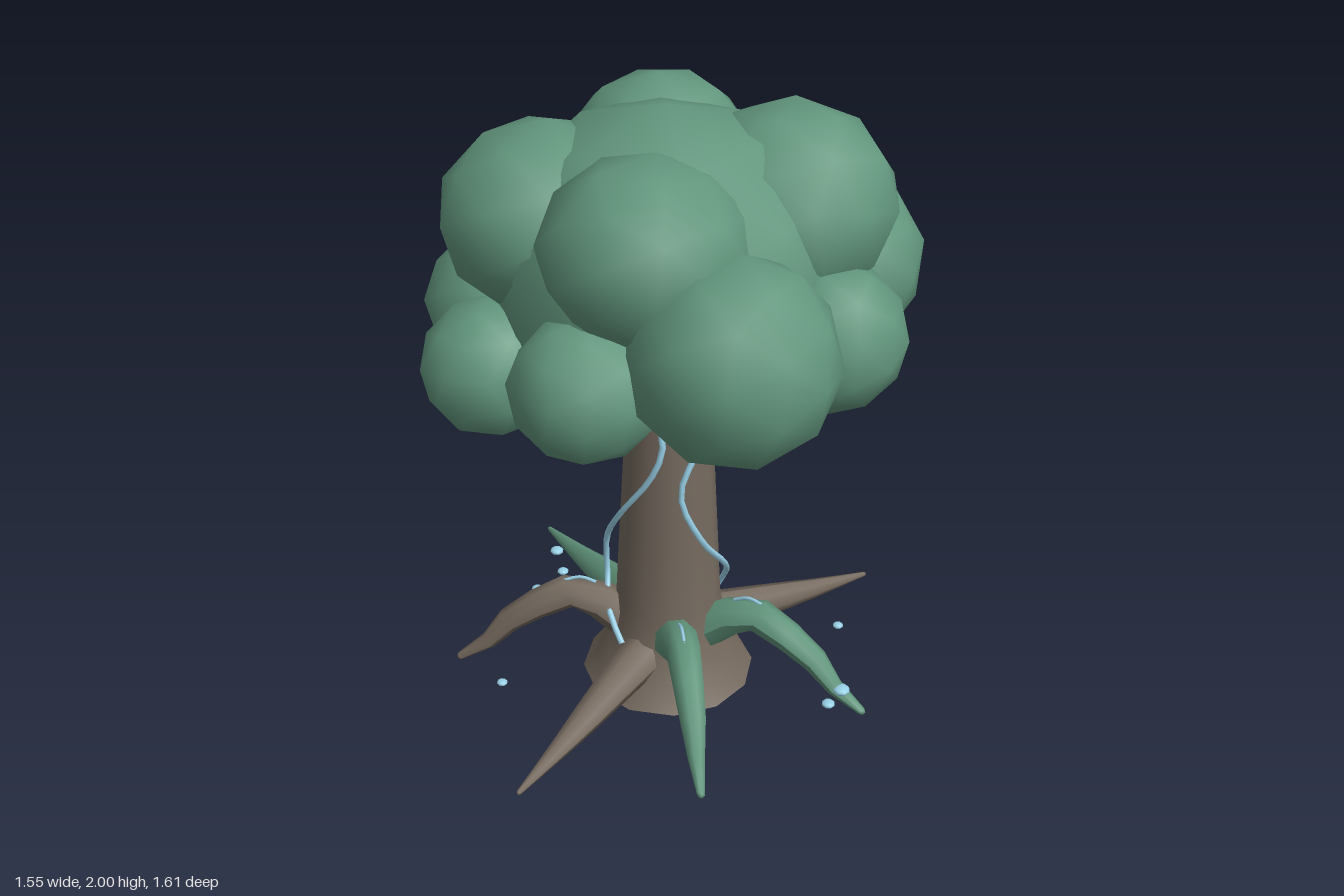
import * as THREE from 'three';

const mat = (name, color) => Object.assign(new THREE.MeshStandardMaterial({ color }), { name });
const V = (x, y, z) => new THREE.Vector3(x, y, z);

// Tube whose radius follows a list of evenly spaced radii
function taperedTube(points, radii, steps, sides) {
  const curve = new THREE.CatmullRomCurve3(points);
  const geo = new THREE.TubeGeometry(curve, steps, 1, sides);
  const pos = geo.attributes.position;
  const v = new THREE.Vector3();
  for (let i = 0; i <= steps; i++) {
    const centre = curve.getPointAt(i / steps);
    const f = (i / steps) * (radii.length - 1);
    const k = Math.min(Math.floor(f), radii.length - 2);
    const r = THREE.MathUtils.lerp(radii[k], radii[k + 1], f - k);
    for (let j = 0; j <= sides; j++) {
      const n = i * (sides + 1) + j;
      v.fromBufferAttribute(pos, n).sub(centre).multiplyScalar(r).add(centre);
      pos.setXYZ(n, v.x, v.y, v.z);
    }
  }
  geo.computeVertexNormals();
  return geo;
}

export function createModel() {
  const tree = new THREE.Group();
  tree.name = 'tree';
  const bark = mat('bark brown', 0x74695e);
  const leaf = mat('leaf green', 0x62967d);
  const glow = mat('pale blue', 0x98d0e6);
  const add = (name, geo, material, x = 0, y = 0, z = 0) => {
    const mesh = new THREE.Mesh(geo, material);
    mesh.name = name;
    mesh.position.set(x, y, z);
    tree.add(mesh);
    return mesh;
  };

  // Trunk with a flared foot
  const cx = 0.03, cz = -0.03;
  const profile = [[0.285, 0], [0.235, 0.07], [0.195, 0.17], [0.172, 0.3], [0.162, 0.5],
    [0.146, 0.8], [0.13, 1.07], [0.12, 1.2]].map(([r, y]) => new THREE.Vector2(r, y));
  add('trunk', new THREE.LatheGeometry(profile, 12), bark, cx, 0, cz);
  const base = add('trunkBase', new THREE.CircleGeometry(0.285, 12), bark, cx, 0, cz);
  base.rotation.x = Math.PI / 2;

  // Roots: tip x, tip z, arched or straight, material
  const roots = [
    [0.43, 0.56, true, leaf], [0.73, -0.02, true, leaf],
    [-0.58, 0.31, true, bark], [-0.11, -0.7, true, bark],
    [-0.07, 0.8, false, bark], [0.47, -0.73, false, bark], [-0.68, -0.48, false, leaf],
  ];
  const arch = [[0.14, 0.2], [0.22, 0.265], [0.3, 0.31], [0.41, 0.27], [0.52, 0.205], [0.6, 0.115], [0.7, 0.05]];
  const straight = [[0.13, 0.14], [0.35, 0.11], [0.6, 0.075], [0.84, 0.05]];
  const streak = [[0.24, 0.34], [0.29, 0.362], [0.35, 0.348]];
  for (const [tx, tz, arched, material] of roots) {
    const path = arched ? arch : straight;
    const end = path[path.length - 1][0];
    const along = ([r, y]) => V(cx + (tx - cx) * r / end, y, cz + (tz - cz) * r / end);
    const points = path.map(along);
    const radii = arched ? [0.075, 0.064, 0.056, 0.05, 0.042, 0.028, 0.013] : [0.082, 0.048, 0.008];
    add(arched ? 'archedRoot' : 'straightRoot', taperedTube(points, radii, 6, 8), material);
    // Caps on the root ends
    const cap = add('rootEnd', new THREE.SphereGeometry(radii[0] * 0.97, 8, 6), material);
    cap.position.copy(points[0]);
    const tip = add('rootTip', new THREE.SphereGeometry(radii[radii.length - 1], 6, 4), material);
    tip.position.copy(points[points.length - 1]);
    // Pale streak over the crest of each arch
    if (arched) {
      const crest = new THREE.CatmullRomCurve3(streak.map(along));
      add('rootStreak', new THREE.TubeGeometry(crest, 6, 0.006, 5), glow);
    }
  }

  // Vines winding round the trunk
  const vines = [
    [[0.03, 1.1, 0.1], [0.08, 0.95, 0.115], [0.05, 0.84, 0.13], [-0.07, 0.66, 0.12],
      [-0.155, 0.5, 0.05], [-0.165, 0.36, 0.03], [-0.11, 0.26, 0.12], [-0.04, 0.19, 0.17]],
    [[0.16, 1.1, -0.06], [0.17, 0.95, 0.03], [0.135, 0.78, 0.1], [0.19, 0.6, 0.06],
      [0.215, 0.44, -0.07], [0.16, 0.3, -0.185], [0.1, 0.18, -0.2]],
    [[-0.09, 1.1, -0.1], [0.0, 0.93, -0.165], [0.07, 0.8, -0.175], [0.09, 0.65, -0.19],
      [-0.01, 0.46, -0.22], [-0.12, 0.35, -0.18], [-0.19, 0.26, -0.1]],
  ];
  for (const points of vines) {
    const curve = new THREE.CatmullRomCurve3(points.map(p => V(...p)));
    add('vine', new THREE.TubeGeometry(curve, 20, 0.01, 6), glow);
  }

  // Small flat drops floating above the roots
  const drops = [[0.66, 0.12, -0.01, 0.028], [0.64, 0.1, 0.05, 0.022], [0.52, 0.105, -0.34, 0.018],
    [-0.37, 0.07, 0.39, 0.018], [-0.48, 0.13, -0.04, 0.02], [-0.45, 0.13, -0.17, 0.02],
    [-0.53, 0.13, -0.27, 0.024], [0.2, 0.1, -0.38, 0.018]];
  for (const [x, y, z, r] of drops) {
    add('drop', new THREE.SphereGeometry(r, 8, 6), glow, x, y, z).scale.y = 0.5;
  }

  // Canopy: one large core ringed by leaf clumps (x, y, z, radius, flattening)
  const core = add('canopyCore', new THREE.IcosahedronGeometry(0.485, 1), leaf, 0.03, 1.515, -0.02);
  core.scale.set(1.12, 1, 1.12);
  const clumps = [
    [0.03, 1.44, -0.55, 0.255, 1], [-0.33, 1.36, -0.41, 0.295, 0.95], [0.4, 1.43, -0.41, 0.285, 1],
    [-0.51, 1.26, -0.01, 0.275, 0.92], [0.55, 1.38, -0.02, 0.23, 1], [0.42, 1.46, 0.37, 0.305, 1],
    [0.02, 1.33, 0.48, 0.228, 0.95], [-0.36, 1.25, 0.36, 0.22, 0.95], [-0.29, 1.65, 0.12, 0.335, 0.87],
    [0.11, 1.68, 0.28, 0.315, 0.9], [0.33, 1.69, -0.19, 0.335, 0.88], [-0.14, 1.7, -0.31, 0.298, 0.92],
  ];
  clumps.forEach(([x, y, z, r, flat], i) => {
    const clump = add('leafClump', new THREE.IcosahedronGeometry(r, 1), leaf, x, y, z);
    clump.rotation.set(0.3 * Math.sin(i * 2), i * 0.7, 0);
    clump.scale.y = flat;
  });

  return tree;
}
